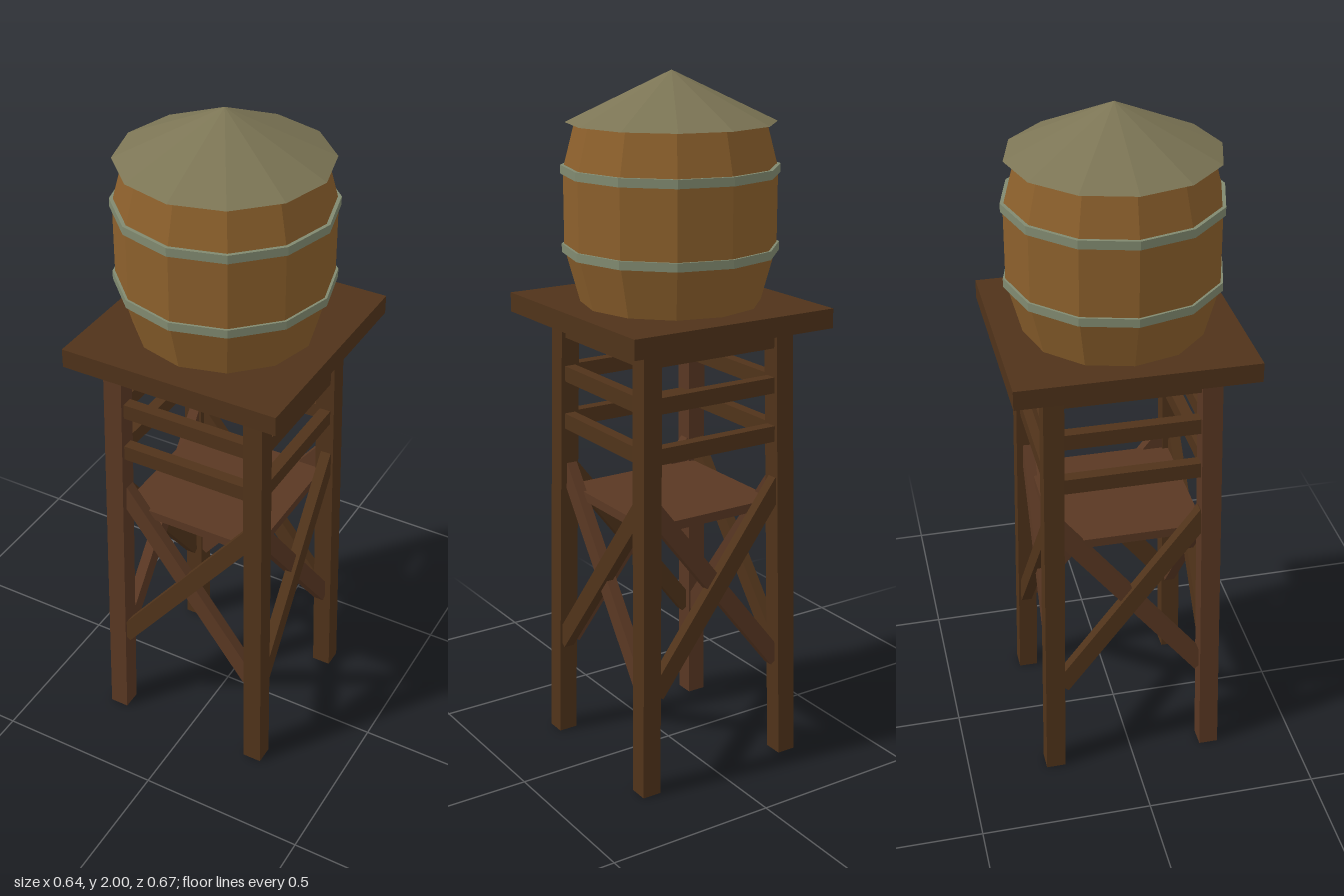
import * as THREE from 'three';

const material = (color, extra = {}) =>
  new THREE.MeshStandardMaterial({ color, flatShading: true, ...extra });

export function createModel() {
  const model = new THREE.Group();
  model.name = 'waterTower';
  const wood = material(0x50331a);
  const redWood = material(0x5a3823);
  const barrelWood = material(0x8c602c);
  const bandMetal = material(0x818a70);
  const roofMetal = material(0x7c7555);

  const add = (parent, name, geometry, mat, x = 0, y = 0, z = 0) => {
    const mesh = new THREE.Mesh(geometry, mat);
    mesh.name = name;
    mesh.position.set(x, y, z);
    parent.add(mesh);
    return mesh;
  };

  // Tower and tank sit slightly off the platform's centre
  const body = new THREE.Group();
  body.name = 'towerBody';
  body.position.x = -0.008;
  model.add(body);

  // Legs lean inwards: centre offset from the axis at a given height
  const legHeight = 1.32;
  const footOffset = 0.24, topOffset = 0.217;
  const offsetAt = (y) => footOffset + (topOffset - footOffset) * (y / legHeight);

  for (const sx of [-1, 1]) {
    for (const sz of [-1, 1]) {
      const geo = new THREE.BoxGeometry(0.057, legHeight, 0.057);
      geo.translate(0, legHeight / 2, 0);
      const p = geo.attributes.position;
      for (let i = 0; i < p.count; i++) {
        const o = offsetAt(p.getY(i));
        p.setX(i, p.getX(i) + sx * o);
        p.setZ(i, p.getZ(i) + sz * o);
      }
      geo.computeVertexNormals();
      add(body, 'leg', geo, sx < 0 && sz > 0 ? redWood : wood);
    }
  }

  // Each side carries three rails and a crossed pair of braces
  const lean = Math.atan((footOffset - topOffset) / legHeight);
  for (let k = 0; k < 4; k++) {
    const side = new THREE.Group();
    side.name = 'sideFrame';
    side.rotation.y = (k * Math.PI) / 2;
    body.add(side);

    for (const y of [1.272, 1.142, 1.0]) {
      const o = offsetAt(y);
      add(side, 'rail', new THREE.BoxGeometry(2 * o, 0.046, 0.034), wood, 0, y, o);
    }

    const cross = new THREE.Group();
    cross.name = 'crossBraces';
    cross.position.set(0, 0.578, offsetAt(0.578));
    cross.rotation.x = -lean;
    side.add(cross);
    for (const s of [-1, 1]) {
      const brace = add(cross, 'brace', new THREE.BoxGeometry(0.7, 0.052, 0.032),
        s > 0 ? wood : redWood, 0, 0, s * 0.006);
      brace.rotation.z = s * Math.atan2(0.277, 0.215);
    }
  }

  // Lower deck between the legs, and the platform under the tank
  add(body, 'lowerDeck', new THREE.BoxGeometry(0.43, 0.027, 0.43), redWood, 0, 0.782, 0);
  add(model, 'platform', new THREE.BoxGeometry(0.645, 0.056, 0.67), wood, 0, 1.338, 0);

  // Twelve-sided barrel
  const profile = [[0, 1.365], [0.254, 1.365], [0.296, 1.518], [0.296, 1.735], [0.262, 1.865], [0, 1.865]]
    .map(([r, y]) => new THREE.Vector2(r, y));
  add(body, 'barrel', new THREE.LatheGeometry(profile, 12), barrelWood);

  // Metal bands
  for (const y of [1.518, 1.735]) {
    const ring = [[0.285, -0.012], [0.303, -0.012], [0.303, 0.012], [0.285, 0.012], [0.285, -0.012]]
      .map(([r, h]) => new THREE.Vector2(r, h));
    add(body, 'band', new THREE.LatheGeometry(ring, 12), bandMetal, 0, y, 0);
  }

  // Conical roof
  add(body, 'roof', new THREE.ConeGeometry(0.291, 0.138, 12), roofMetal, -0.002, 1.931, 0);

  return model;
}
